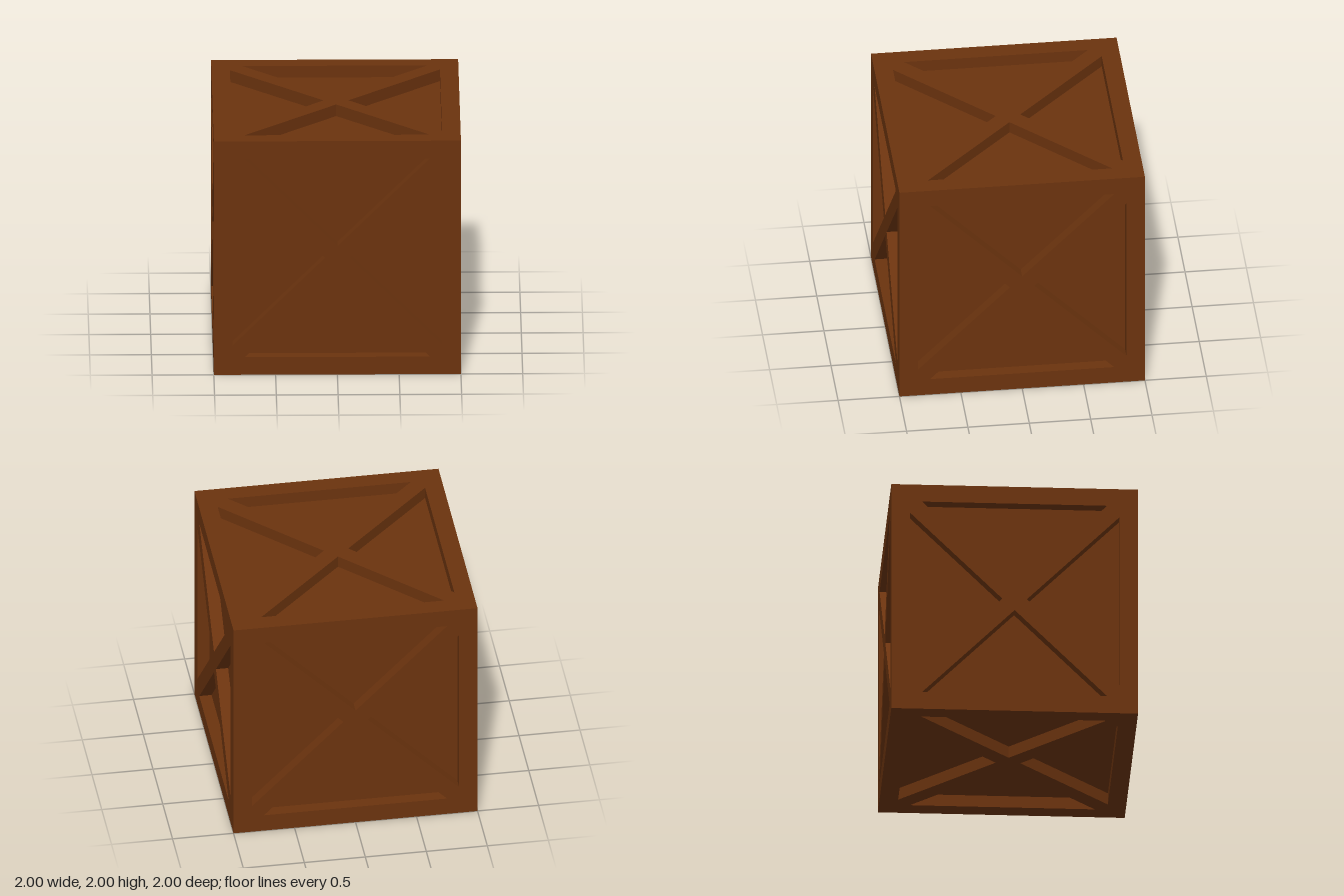
import * as THREE from 'three';

const HALF = 1;       // half of the crate's edge
const DEPTH = 0.1;    // how far the panels are recessed
const RIM = 0.85;     // inner edge of the border boards
const BRACE = 0.1;    // half diagonal width of the crossed boards

// Square board frame with an X brace: four triangular openings, mitred at the back
function braceFrameGeometry() {
  const shape = new THREE.Shape([[-1, -1], [1, -1], [1, 1], [-1, 1]]
    .map(([x, y]) => new THREE.Vector2(x * HALF, y * HALF)));
  for (let i = 0; i < 4; i++) {
    const corners = [[RIM - BRACE, RIM], [BRACE - RIM, RIM], [0, BRACE]];
    shape.holes.push(new THREE.Path(corners.map(([x, y]) =>
      new THREE.Vector2(x, y).rotateAround(new THREE.Vector2(), i * Math.PI / 2))));
  }
  const geometry = new THREE.ExtrudeGeometry(shape, { depth: DEPTH, bevelEnabled: false });
  geometry.translate(0, 0, HALF - DEPTH);

  // Pull the outer back edge inwards so that neighbouring frames meet at 45 degrees
  const p = geometry.attributes.position;
  for (let i = 0; i < p.count; i++) {
    if (Math.abs(p.getX(i)) > 0.95 && p.getZ(i) < HALF - DEPTH / 2) {
      p.setX(i, Math.sign(p.getX(i)) * (HALF - DEPTH));
      p.setY(i, Math.sign(p.getY(i)) * (HALF - DEPTH));
    }
  }
  geometry.computeVertexNormals();
  return geometry;
}

export function createModel() {
  const crate = new THREE.Group();
  crate.name = 'crate';
  const wood = new THREE.MeshStandardMaterial({ color: 0x6b330e });

  // Inner box whose sides form the recessed panels
  const size = 2 * (HALF - DEPTH);
  const panels = new THREE.Mesh(new THREE.BoxGeometry(size, size, size), wood);
  panels.name = 'recessedPanels';
  panels.position.y = HALF;
  crate.add(panels);

  // One braced frame on each of the six sides
  const frame = braceFrameGeometry();
  const q = Math.PI / 2;
  const sides = {
    front: [0, 0], left: [0, q], back: [0, 2 * q], right: [0, -q],
    top: [-q, 0], bottom: [q, 0],
  };
  for (const [side, [rx, ry]] of Object.entries(sides)) {
    const mesh = new THREE.Mesh(frame, wood);
    mesh.name = `${side}Frame`;
    mesh.rotation.set(rx, ry, 0);
    mesh.position.y = HALF;
    crate.add(mesh);
  }
  return crate;
}
